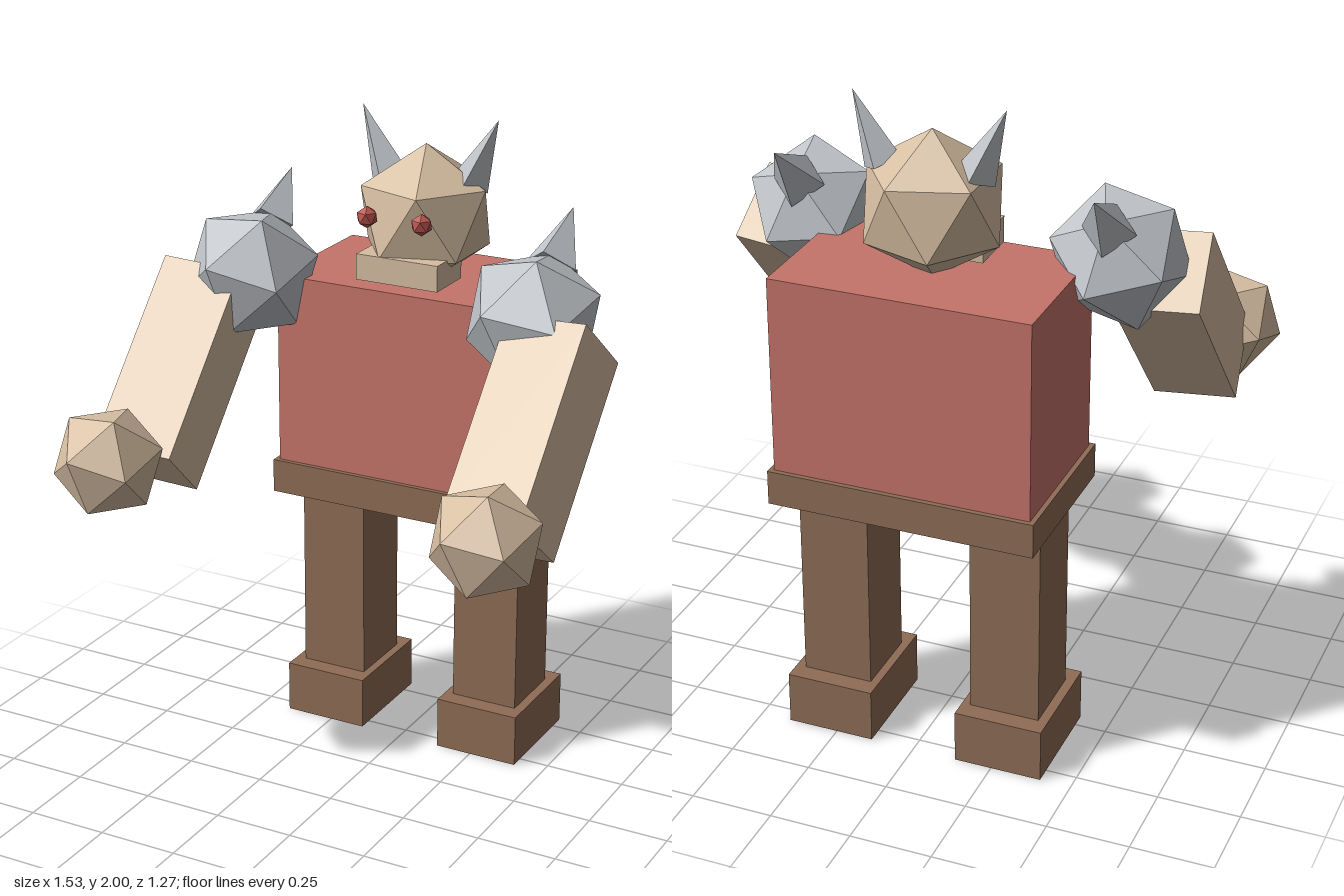
import * as THREE from 'three';

const mat = (name, color) => {
  const m = new THREE.MeshStandardMaterial({ color });
  m.name = name;
  m.flatShading = true;
  return m;
};

export function createModel() {
  const model = new THREE.Group();
  model.name = 'hornedBrute';
  const skin = mat('skin', 0xd6bea2);
  const metal = mat('metal', 0xc0c4c9);
  const cloth = mat('tunic', 0xc6746a);
  const leather = mat('leather', 0x8f6d56);
  const eyeRed = mat('eyeRed', 0xb9544f);

  const add = (name, geo, material, pos, rot = [0, 0, 0]) => {
    const mesh = new THREE.Mesh(geo, material);
    mesh.name = name;
    mesh.position.set(...pos);
    mesh.rotation.set(...rot);
    model.add(mesh);
    return mesh;
  };
  const box = (w, h, d) => new THREE.BoxGeometry(w, h, d);

  // Icosahedron with one corner straight up and an upper-ring corner on +x
  const ico = (r) => new THREE.IcosahedronGeometry(r, 0)
    .rotateX(-Math.atan((1 + Math.sqrt(5)) / 2))
    .rotateY(Math.PI / 2);

  // Four-sided spike from base centre to tip
  const spike = (name, r, base, tip) => {
    const a = new THREE.Vector3(...base);
    const dir = new THREE.Vector3(...tip).sub(a);
    const len = dir.length();
    const mesh = add(name, new THREE.ConeGeometry(r, len, 4).translate(0, len / 2, 0), metal, base);
    mesh.quaternion.setFromUnitVectors(new THREE.Vector3(0, 1, 0), dir.normalize());
  };

  // Body
  add('torso', box(0.78, 0.6, 0.475), cloth, [0, 1.205, -0.378]);
  add('belt', box(0.81, 0.105, 0.505), leather, [0, 0.853, -0.378]);

  // Head
  add('head', ico(0.22), skin, [0, 1.69, -0.36]);
  add('jaw', box(0.27, 0.08, 0.16), skin, [0, 1.56, -0.25]);

  for (const s of [1, -1]) {
    const side = s > 0 ? 'left' : 'right';

    // Face details
    add(side + 'Eye', ico(0.034), eyeRed, [s * 0.09, 1.723, -0.155]);
    spike(side + 'Horn', 0.06, [s * 0.138, 1.8, -0.382], [s * 0.225, 2, -0.382]);

    // Legs
    add(side + 'Leg', box(0.215, 0.625, 0.23), leather, [s * 0.268, 0.473, -0.378]);
    add(side + 'Foot', box(0.27, 0.165, 0.345), leather, [s * 0.27, 0.0825, -0.378]);

    // Arms reaching forward
    const reach = [-0.735, -s * 0.1, 0];
    add(side + 'Arm', box(0.25, 0.62, 0.25), skin, [s * 0.578, 1.243, 0.12], reach);
    add(side + 'Hand', ico(0.17), skin, [s * 0.612, 1.073, 0.475], reach);

    // Spiked shoulder armour
    add(side + 'Pauldron', ico(0.21), metal, [s * 0.467, 1.51, -0.12], reach);
    spike(side + 'ShoulderSpike', 0.08, [s * 0.468, 1.634, -0.234], [s * 0.472, 1.773, -0.378]);
  }
  return model;
}
